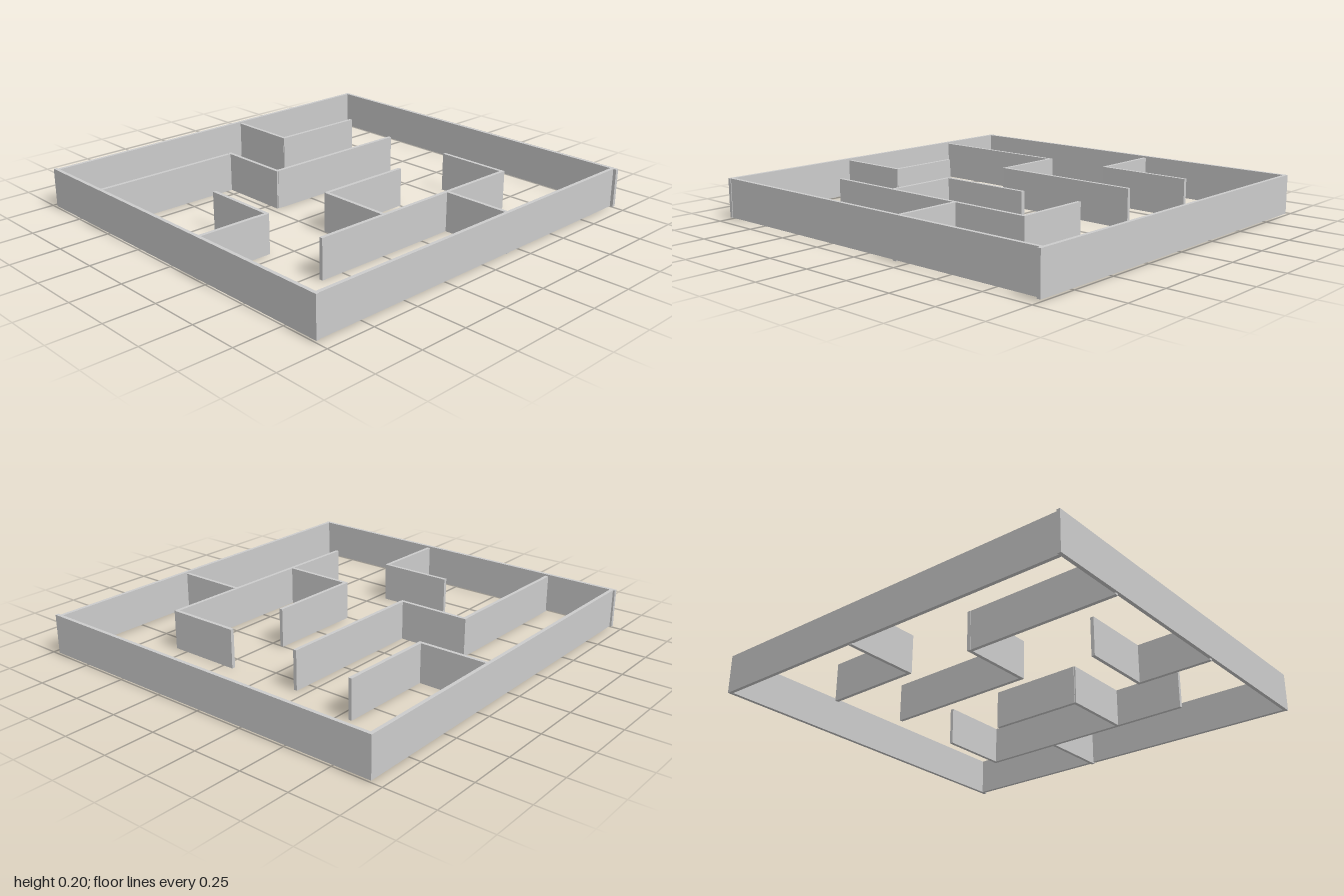
import * as THREE from 'three';

const THICKNESS = 0.018;
const HEIGHT = 0.196;

export function createModel() {
  const model = new THREE.Group();
  model.name = 'maze';
  const material = new THREE.MeshStandardMaterial({ color: 0xcccccc, flatShading: true });

  // Upright slab whose centre line runs from (x1, z1) to (x2, z2)
  function addWall(name, base, [x1, z1, x2, z2]) {
    const length = Math.hypot(x2 - x1, z2 - z1);
    const wall = new THREE.Mesh(new THREE.BoxGeometry(length, HEIGHT, THICKNESS), material);
    wall.name = name;
    wall.position.set((x1 + x2) / 2, base + HEIGHT / 2, (z1 + z2) / 2);
    wall.rotation.y = -Math.atan2(z2 - z1, x2 - x1);
    model.add(wall);
  }

  // Outer enclosure, raised slightly above the inner walls
  const outer = {
    backWall: [-0.99, -0.938, 0.99, -0.938],
    frontWall: [-0.99, 0.928, 0.99, 0.928],
    rightWall: [-0.991, -0.957, -0.991, 0.94],
    leftWall: [0.991, -0.947, 0.991, 0.953],
  };
  for (const [name, line] of Object.entries(outer)) addWall(name, 0.009, line);

  // Inner partitions, some very slightly askew
  const inner = [
    [-0.99, -0.571, -0.2, -0.564],
    [-0.209, -0.575, -0.209, -0.193],
    [-0.21, -0.2, 0.58, -0.191],
    [0.158, -0.935, 0.158, -0.565],
    [0.15, -0.57, 0.652, -0.563],
    [-0.605, -0.186, -0.605, 0.195],
    [-0.99, 0.185, -0.6, 0.19],
    [-0.238, 0.18, -0.238, 0.555],
    [-0.24, 0.185, 0.252, 0.19],
    [-0.616, 0.552, 0.59, 0.565],
    [0.583, 0.192, 0.583, 0.569],
    [0.177, 0.56, 0.177, 0.928],
  ];
  inner.forEach((line, i) => addWall(`innerWall${i + 1}`, 0, line));

  return model;
}
